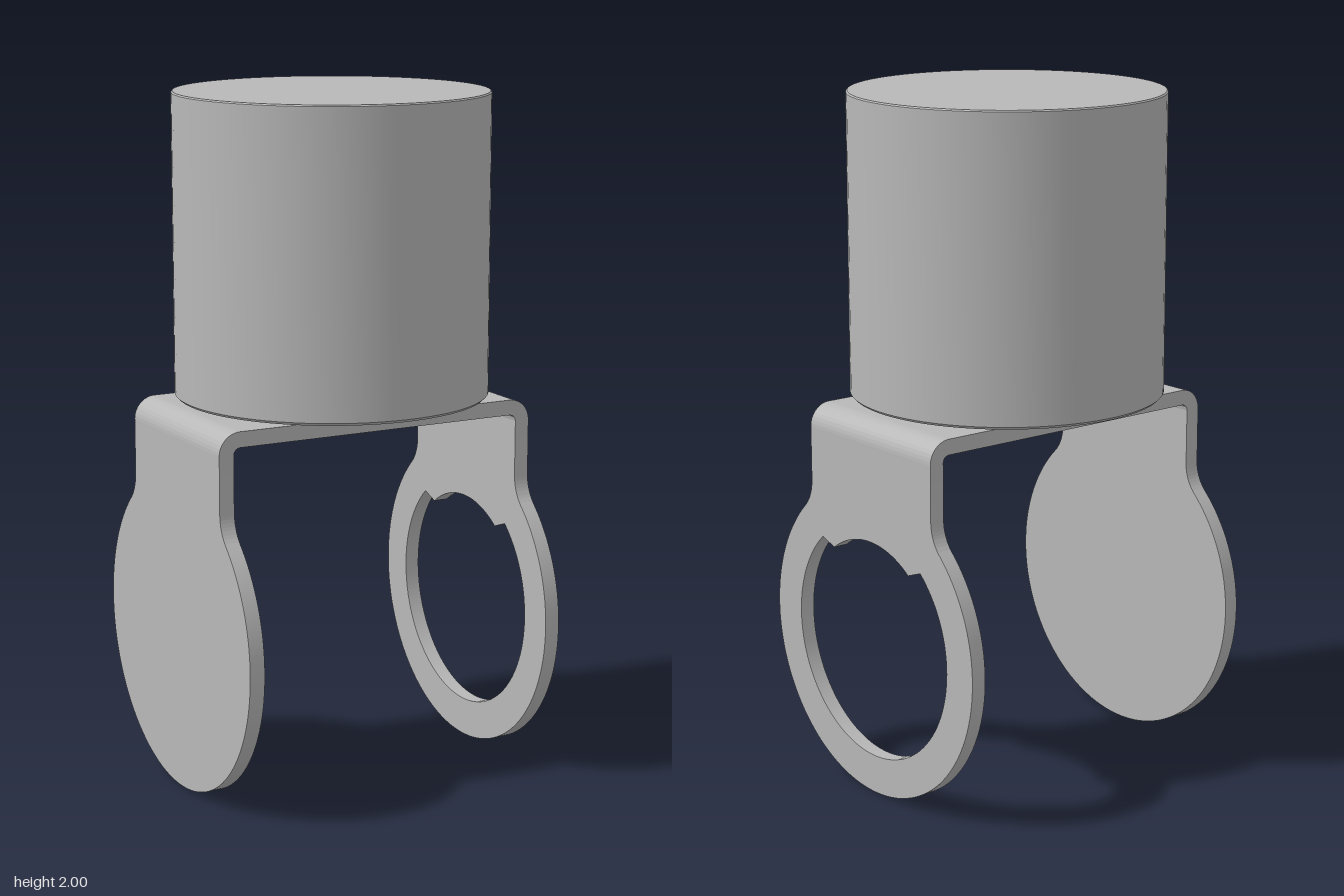
import * as THREE from 'three';
import { toCreasedNormals } from 'three/addons/utils/BufferGeometryUtils.js';

const T = 0.045;        // sheet thickness
const HALF_W = 0.503;   // outer half width of the bracket
const HALF_D = 0.28;    // half depth of the bracket
const TOP = 1.105;      // top of the bracket
const BEND = 0.065;     // outer bend radius
const DISC_R = 0.46;    // round end of each arm

const grey = new THREE.MeshStandardMaterial({ color: 0xb8b8b8 });
grey.name = 'grey metal';

function addMesh(parent, name, geometry) {
  const mesh = new THREE.Mesh(toCreasedNormals(geometry, 0.5), grey);
  mesh.name = name;
  parent.add(mesh);
  return mesh;
}

const extrude = (shape, depth) =>
  new THREE.ExtrudeGeometry(shape, { depth, bevelEnabled: false, curveSegments: 48 });

// Straight neck blending through fillets into a round end
function armShape() {
  const r = 0.12, cx = HALF_D + r;
  const cy = DISC_R + Math.sqrt((DISC_R + r) ** 2 - cx ** 2);
  const a = Math.atan2(cy - DISC_R, cx);
  const s = new THREE.Shape();
  s.moveTo(HALF_D, TOP - BEND);
  s.lineTo(-HALF_D, TOP - BEND);
  s.absarc(-cx, cy, r, 0, -a, true);
  s.absarc(0, DISC_R, DISC_R, Math.PI - a, 2 * Math.PI + a, false);
  s.absarc(cx, cy, r, Math.PI + a, Math.PI, true);
  s.closePath();
  return s;
}

// Round opening with a shallower arc along its top
function openingPath() {
  const outer = Math.atan2(0.26, 0.23), inner = Math.atan2(0.24, 0.175);
  const p = new THREE.Path();
  p.absarc(0, DISC_R, 0.347, Math.PI - outer, 2 * Math.PI + outer, false);
  p.absarc(0, DISC_R, 0.297, inner, Math.PI - inner, false);
  p.closePath();
  return p;
}

// Quarter bend joining the plate to the +x arm
function bendShape() {
  const cx = HALF_W - BEND, cy = TOP - BEND;
  const s = new THREE.Shape();
  s.absarc(cx, cy, BEND, 0, Math.PI / 2, false);
  s.absarc(cx, cy, BEND - T, Math.PI / 2, 0, true);
  s.closePath();
  return s;
}

export function createModel() {
  const model = new THREE.Group();
  model.name = 'bracketAssembly';

  // Drum with eased edges and a shallow recess underneath
  const R = 0.457, e = 0.008;
  const profile = [
    [0, 1.135], [0.36, 1.135], [0.36, 1.12], [R - e, 1.12], [R, 1.12 + e],
    [R, 2 - e / 2], [R - e / 2, 2], [0, 2],
  ].map(([x, y]) => new THREE.Vector2(x, y));
  addMesh(model, 'drum', new THREE.LatheGeometry(profile, 80));

  // Bent bracket, turned slightly under the drum
  const bracket = new THREE.Group();
  bracket.name = 'bracket';
  bracket.rotation.y = -0.045;
  model.add(bracket);

  // Top plate with a small locating hole near the back
  const w = HALF_W - BEND;
  const plate = new THREE.Shape([[-w, -HALF_D], [w, -HALF_D], [w, HALF_D], [-w, HALF_D]]
    .map(([x, y]) => new THREE.Vector2(x, y)));
  const pin = new THREE.Path();
  pin.absarc(0.02, 0.21, 0.022, 0, 2 * Math.PI, true);
  plate.holes.push(pin);
  addMesh(bracket, 'topPlate', extrude(plate, T).rotateX(-Math.PI / 2).translate(0, TOP - T, 0));

  // Bends and arms; only the left arm is open
  for (const [side, turn] of [['left', 0], ['right', Math.PI]]) {
    addMesh(bracket, side + 'Bend',
      extrude(bendShape(), 2 * HALF_D).translate(0, 0, -HALF_D).rotateY(turn));
    const arm = armShape();
    if (side === 'left') arm.holes.push(openingPath());
    addMesh(bracket, side + 'Arm',
      extrude(arm, T).rotateY(Math.PI / 2).translate(HALF_W - T, 0, 0).rotateY(turn));
  }
  return model;
}
